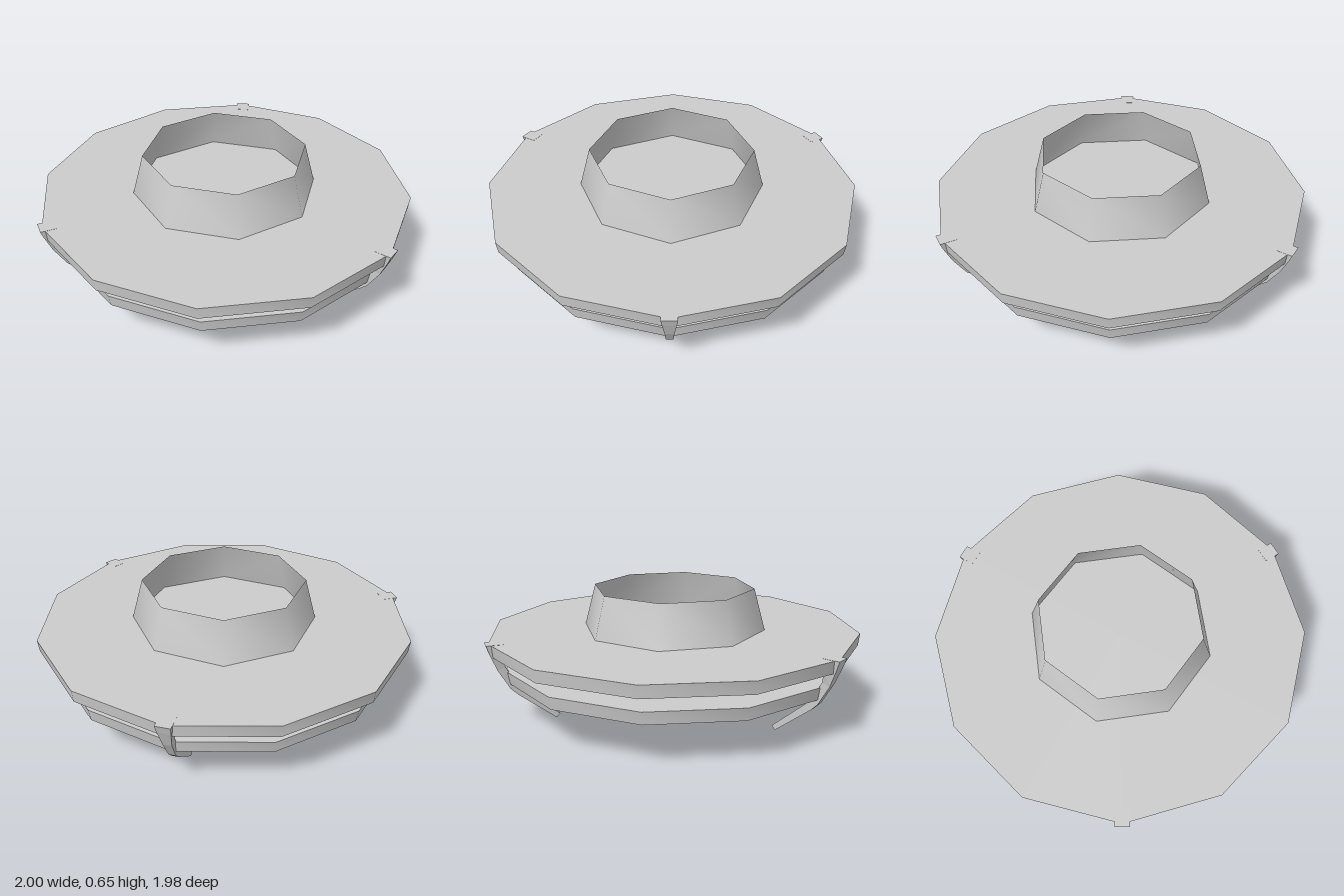
import * as THREE from 'three';
import { toCreasedNormals } from 'three/addons/utils/BufferGeometryUtils.js';

const grey = new THREE.MeshStandardMaterial({ color: 0xcccccc });
const greyOpen = new THREE.MeshStandardMaterial({ color: 0xcccccc, side: THREE.DoubleSide });
const greyFlat = new THREE.MeshStandardMaterial({ color: 0xcccccc, flatShading: true });

function addMesh(parent, name, geometry, material) {
  const mesh = new THREE.Mesh(geometry, material);
  mesh.name = name;
  parent.add(mesh);
  return mesh;
}

// Revolved [radius, height] profile, smooth around and sharp at the rims
function turned(profile, sides) {
  const points = profile.map(([r, y]) => new THREE.Vector2(r, y));
  return toCreasedNormals(new THREE.LatheGeometry(points, sides), 1);
}

// Bent, tapering leg: four-cornered sections [outer x, outer y, inner x, inner y, half width]
function legGeometry() {
  const sections = [
    [1.005, 0.431, 0.92, 0.431, 0.038],
    [0.99, 0.385, 0.925, 0.36, 0.033],
    [0.955, 0.295, 0.915, 0.31, 0.022],
    [0.895, 0.19, 0.86, 0.21, 0.018],
    [0.86, 0.155, 0.83, 0.18, 0.017],
    [0.665, 0, 0.645, 0.02, 0.012],
  ];
  const position = [];
  for (const [ox, oy, ix, iy, w] of sections) {
    position.push(ox, oy, w, ox, oy, -w, ix, iy, -w, ix, iy, w);
  }
  const index = [];
  const quad = (a, b, c, d) => index.push(a, b, c, a, c, d);
  for (let s = 0; s < sections.length - 1; s++) {
    for (let k = 0; k < 4; k++) {
      const a = s * 4 + k, b = s * 4 + (k + 1) % 4;
      quad(a, a + 4, b + 4, b);
    }
  }
  const e = (sections.length - 1) * 4;
  quad(0, 1, 2, 3);
  quad(e + 3, e + 2, e + 1, e);
  const geometry = new THREE.BufferGeometry();
  geometry.setAttribute('position', new THREE.Float32BufferAttribute(position, 3));
  geometry.setIndex(index);
  geometry.computeVertexNormals();
  return geometry;
}

export function createModel() {
  const model = new THREE.Group();
  model.name = 'model';
  const body = new THREE.Group();
  body.name = 'body';
  body.position.x = -0.007;
  model.add(body);

  // Twelve-sided plates with a shallow conical underside
  addMesh(body, 'upperPlate',
    turned([[0, 0.338], [0.982, 0.365], [0.99, 0.43], [0, 0.43]], 12), grey);
  addMesh(body, 'lowerPlate',
    turned([[0, 0.185], [0.9, 0.215], [0.912, 0.28], [0, 0.28]], 12), grey);

  // Open eight-sided collar
  addMesh(body, 'collar', turned([[0.492, 0.43], [0.432, 0.652]], 8), greyOpen);

  // Three legs gripping the plate rims
  const leg = legGeometry();
  for (let i = 0; i < 3; i++) {
    addMesh(body, 'leg' + (i + 1), leg, greyFlat).rotation.y = i * Math.PI * 2 / 3;
  }
  return model;
}
